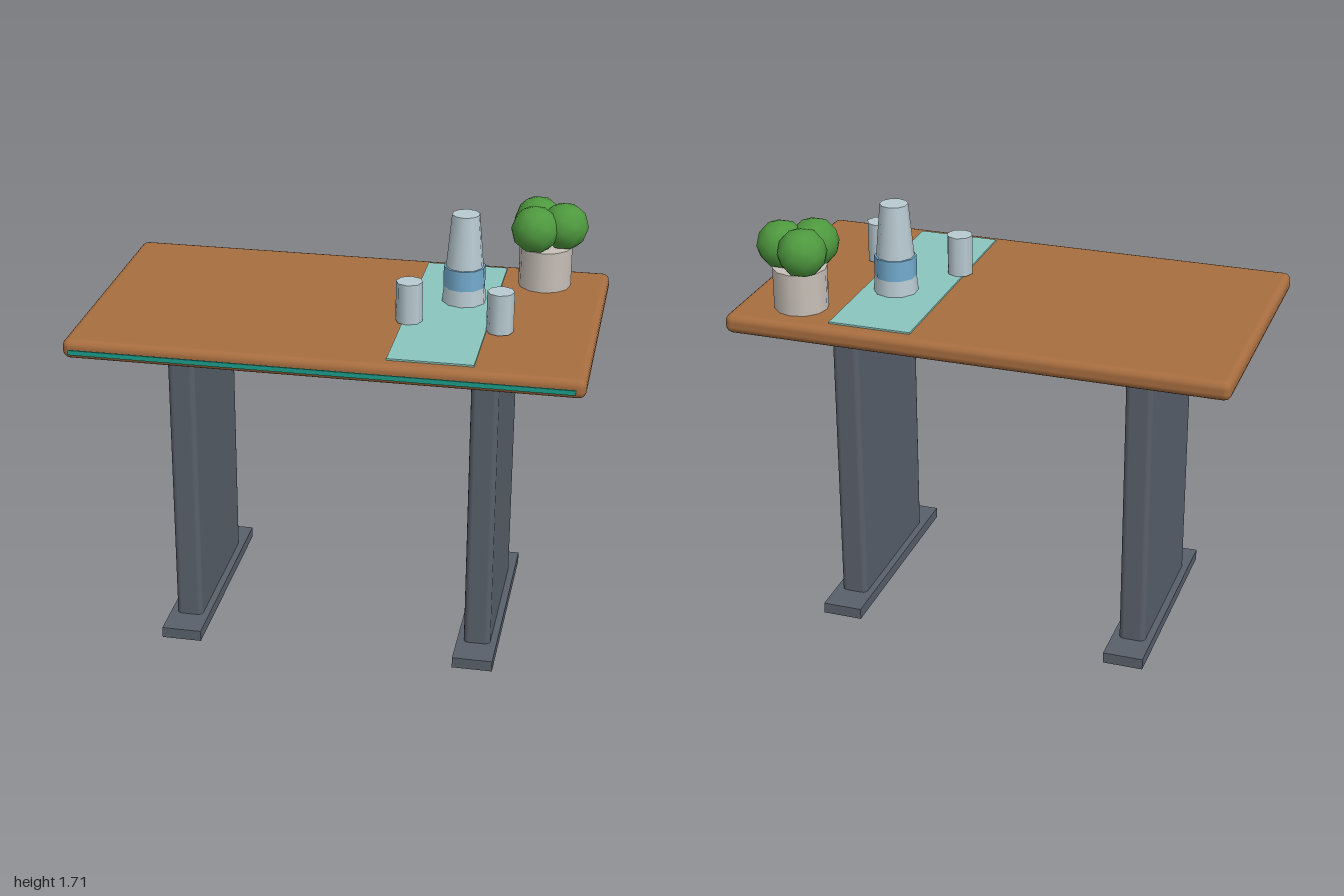
import * as THREE from 'three';
import { RoundedBoxGeometry } from 'three/addons/geometries/RoundedBoxGeometry.js';

export function createModel() {
  const model = new THREE.Group();
  model.name = 'deskWithDecor';
  const mat = (color) => new THREE.MeshStandardMaterial({ color });
  const wood = mat(0xa86e40), metal = mat(0x59606b), teal = mat(0x1a9c8a), cloth = mat(0x8ac6bf);
  const glass = mat(0xb9cbd2), band = mat(0x74add0), ceramic = mat(0xc8c0b8), leaf = mat(0x4f9a3f);

  const add = (name, geometry, material, x, y, z) => {
    const mesh = new THREE.Mesh(geometry, material);
    mesh.name = name;
    mesh.position.set(x, y, z);
    model.add(mesh);
    return mesh;
  };
  // Upright tapered cylinder standing between two heights
  const round = (name, rTop, rBottom, y0, y1, sides, material, x, z) =>
    add(name, new THREE.CylinderGeometry(rTop, rBottom, y1 - y0, sides), material, x, (y0 + y1) / 2, z);

  // Table top with a glowing strip just ahead of its front edge
  const zc = -0.012;
  add('tableTop', new RoundedBoxGeometry(2, 0.078, 1.125, 2, 0.03), wood, 0, 1.306, zc);
  add('frontStrip', new THREE.BoxGeometry(1.93, 0.019, 0.006), teal, 0, 1.307, 0.572);

  // Slab legs on flat feet
  for (const [side, x] of [['left', 0.6], ['right', -0.6]]) {
    add(side + 'Leg', new RoundedBoxGeometry(0.108, 1.23, 0.652, 2, 0.022), metal, x, 0.635, zc);
    add(side + 'Foot', new THREE.BoxGeometry(0.162, 0.045, 0.908), metal, x, 0.0225, zc);
  }

  // Cloth runner
  add('runner', new THREE.BoxGeometry(0.33, 0.008, 1.018), cloth, 0.415, 1.348, zc);

  // Carafe with a coloured band, and two cups
  round('carafe', 0.056, 0.089, 1.351, 1.713, 10, glass, 0.452, -0.139);
  round('carafeBand', 0.084, 0.084, 1.416, 1.499, 10, band, 0.452, -0.139);
  round('leftCup', 0.053, 0.053, 1.351, 1.514, 8, glass, 0.632, 0.15);
  round('rightCup', 0.053, 0.053, 1.351, 1.514, 8, glass, 0.272, 0.112);

  // Potted plant with three leaf clusters
  round('plantPot', 0.107, 0.107, 1.345, 1.512, 12, ceramic, 0.747, -0.394);
  [[0.706, -0.457], [0.706, -0.336], [0.818, -0.397]].forEach(([x, z], i) =>
    add('leafCluster' + (i + 1), new THREE.IcosahedronGeometry(0.097, 1), leaf, x, 1.596, z));

  return model;
}
